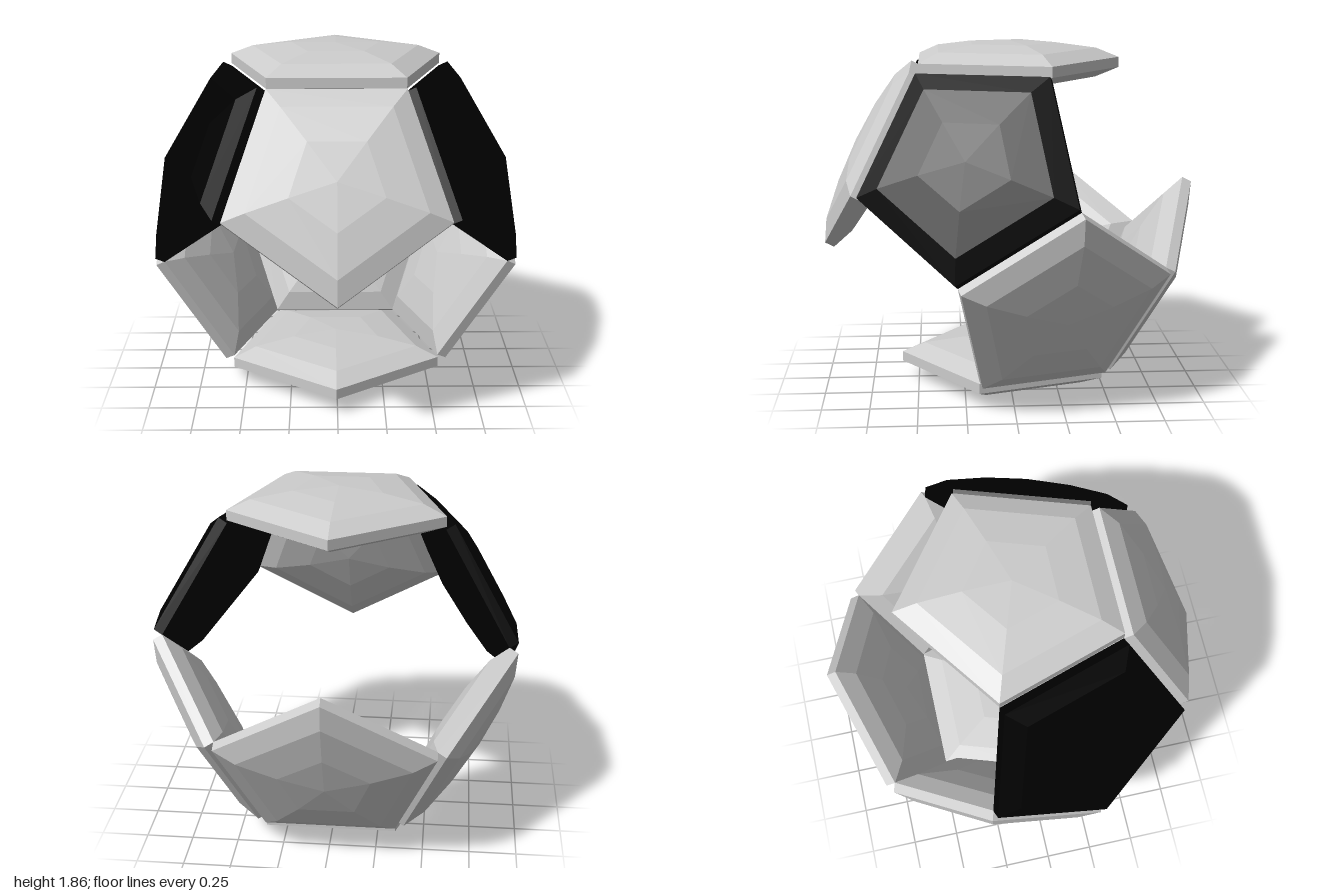
import * as THREE from 'three';

const CENTRE_Y = 0.931;
const TILT = Math.atan(2); // angle between the pole and the upper ring of a dodecahedron
const deg = THREE.MathUtils.degToRad;

// Five-sided lens: domed on both sides with a straight rim
function panelGeometry() {
  const half = [[0.59, 0.027], [0.465, 0.077], [0.245, 0.107], [0, 0.118]];
  const profile = [
    ...half.slice().reverse().map(([r, h]) => new THREE.Vector2(r, -h)),
    ...half.map(([r, h]) => new THREE.Vector2(r, h)),
  ];
  return new THREE.LatheGeometry(profile, 5);
}

export function createModel() {
  const model = new THREE.Group();
  model.name = 'openDodecahedron';
  const geometry = panelGeometry();
  const grey = new THREE.MeshStandardMaterial({ color: 0xcccccc, flatShading: true });
  const black = new THREE.MeshStandardMaterial({ color: 0x000000, flatShading: true });

  // Lean a panel away from the pole, turn it round the axis and push it outwards
  function addPanel(name, tilt, azimuth, spin, distance, material) {
    const arm = new THREE.Group();
    arm.name = name;
    arm.rotation.set(tilt, deg(azimuth), 0, 'YXZ');
    arm.position.set(-0.005, CENTRE_Y, 0);
    const panel = new THREE.Mesh(geometry, material);
    panel.name = name + 'Panel';
    panel.position.y = distance;
    panel.rotation.y = spin;
    arm.add(panel);
    model.add(arm);
  }

  // Pole panels
  addPanel('top', 0, 0, Math.PI, 0.813, grey);
  addPanel('bottom', Math.PI, 0, Math.PI, 0.813, grey);

  // Upper ring, open at the back
  addPanel('upperFront', TILT, 0, 0, 0.797, grey);
  addPanel('upperLeft', TILT, 72, 0, 0.797, black);
  addPanel('upperRight', TILT, -72, 0, 0.797, black);

  // Lower ring, open at the front
  addPanel('lowerBack', Math.PI - TILT, 180, Math.PI, 0.797, grey);
  addPanel('lowerLeft', Math.PI - TILT, 108, Math.PI, 0.797, grey);
  addPanel('lowerRight', Math.PI - TILT, -108, Math.PI, 0.797, grey);

  return model;
}
